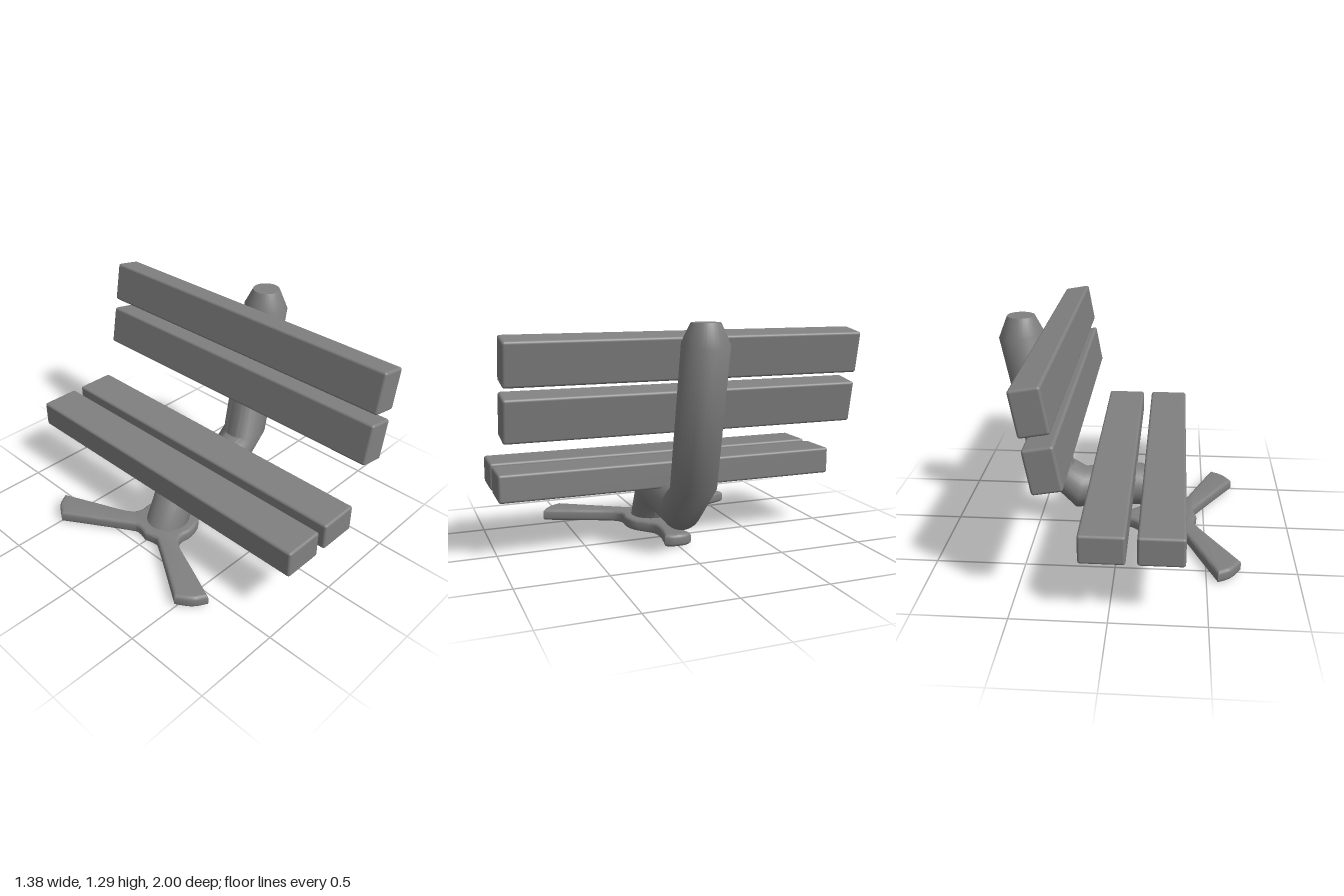
import * as THREE from 'three';
import { toCreasedNormals } from 'three/addons/utils/BufferGeometryUtils.js';
import { RoundedBoxGeometry } from 'three/addons/geometries/RoundedBoxGeometry.js';

// Lofts a closed pipe through rings given by two opposite points [x1, y1, x2, y2, half depth].
function loftPipe(rings, sides) {
  const pos = [], idx = [];
  for (const [x1, y1, x2, y2, hz] of rings) {
    for (let j = 0; j < sides; j++) {
      const a = (j / sides) * Math.PI * 2, c = Math.cos(a) / 2;
      pos.push((x1 + x2) / 2 + c * (x2 - x1), (y1 + y2) / 2 + c * (y2 - y1), Math.sin(a) * hz);
    }
  }
  const last = rings.length - 1;
  for (let i = 0; i < last; i++) {
    for (let j = 0; j < sides; j++) {
      const k = (j + 1) % sides;
      const a = i * sides + j, b = i * sides + k, c = a + sides, d = b + sides;
      idx.push(a, c, b, b, c, d);
    }
  }
  for (let j = 1; j < sides - 1; j++) {
    idx.push(0, j, j + 1, last * sides, last * sides + j + 1, last * sides + j);
  }
  const geo = new THREE.BufferGeometry();
  geo.setAttribute('position', new THREE.Float32BufferAttribute(pos, 3));
  geo.setIndex(idx);
  return toCreasedNormals(geo, 0.9);
}

// Three-legged foot: one half of the outline, mirrored across z = 0, with rounded edges.
function footGeometry() {
  const b = 0.018;
  const sections = [
    [[0.21, 0], [0.205, 0.045], [0.185, 0.08]],                                        // short leg tip
    [[0.185, 0.08], [0.05, 0.055], [-0.05, 0.06], [-0.11, 0.105], [-0.17, 0.155],
      [-0.25, 0.178], [-0.33, 0.175], [-0.39, 0.225], [-0.47, 0.41], [-0.56, 0.62]],   // hub side
    [[-0.56, 0.62], [-0.635, 0.572], [-0.69, 0.49]],                                   // long leg tip
    [[-0.69, 0.49], [-0.56, 0.285], [-0.455, 0.115], [-0.44, 0.07], [-0.455, 0]],      // hub back
  ];
  const half = [];
  for (const s of sections) {
    const curve = new THREE.SplineCurve(s.map(([x, z]) => new THREE.Vector2(x, z)));
    half.push(...curve.getPoints((s.length - 1) * 4).slice(0, -1));
  }
  half.push(new THREE.Vector2(-0.455, 0));
  const mirrored = half.slice(1, -1).reverse().map((p) => new THREE.Vector2(p.x, -p.y));
  const geo = new THREE.ExtrudeGeometry(new THREE.Shape([...half, ...mirrored]), {
    depth: 0.07 - 2 * b, bevelEnabled: true, bevelThickness: b, bevelSize: b, bevelOffset: -b, bevelSegments: 3,
  });
  geo.rotateX(-Math.PI / 2).translate(0, b, 0);
  return toCreasedNormals(geo, 0.7);
}

export function createModel() {
  const model = new THREE.Group();
  model.name = 'bench';
  const grey = new THREE.MeshStandardMaterial({ color: 0x808080 });
  grey.name = 'grey';
  const add = (name, geometry) => {
    const mesh = new THREE.Mesh(geometry, grey);
    mesh.name = name;
    model.add(mesh);
    return mesh;
  };

  add('foot', footGeometry());

  // Bent support from the foot, under the seat and up behind the backrest
  add('supportPipe', loftPipe([
    [-0.41, 0.03, -0.157, 0.03, 0.127],
    [-0.245, 0.36, -0.11, 0.15, 0.127],
    [-0.11, 0.397, -0.11, 0.15, 0.127],
    [0.21, 0.366, 0.27, 0.118, 0.127],
    [0.282, 0.395, 0.536, 0.395, 0.127],
    [0.437, 1.205, 0.685, 1.165, 0.127],
    [0.48, 1.29, 0.635, 1.29, 0.077],
  ], 32));

  // Planks: name, centre x, centre y, width, height, tilt
  const planks = [
    ['seatPlankFront', -0.262, 0.412, 0.235, 0.157, 0],
    ['seatPlankRear', 0.028, 0.412, 0.235, 0.157, 0],
    ['backPlankLower', 0.296, 0.822, 0.155, 0.235, -0.175],
    ['backPlankUpper', 0.346, 1.109, 0.155, 0.235, -0.175],
  ];
  for (const [name, x, y, w, h, tilt] of planks) {
    const plank = add(name, new RoundedBoxGeometry(w, h, 2, 3, 0.015));
    plank.position.set(x, y, 0);
    plank.rotation.z = tilt;
  }
  return model;
}
